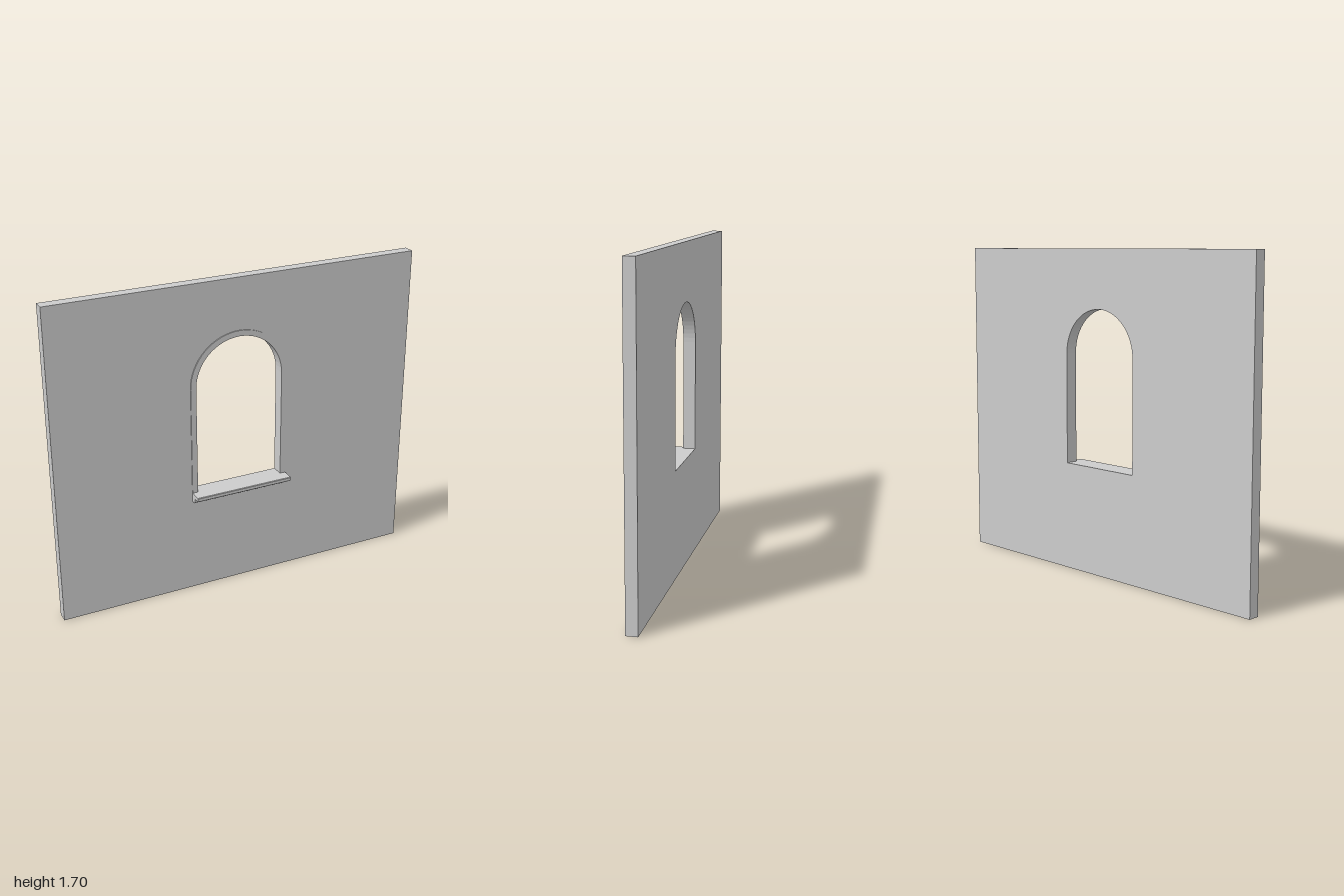
import * as THREE from 'three';

const HALF_W = 1, WALL_H = 1.695;          // wall outline
const BACK = -0.065, FACE = -0.005;        // wall back and front planes
const SILL_Y = 0.57, SPRING_Y = 1.15;      // bottom of opening, start of the arch
const OPEN_R = 0.24, TRIM_R = 0.27;        // half widths of opening and trim
const ARCH_SEGMENTS = 16;

// Round-headed outline: straight jambs with a semicircle on top
function archOutline(path, r) {
  path.moveTo(-r, SILL_Y);
  path.lineTo(r, SILL_Y);
  path.lineTo(r, SPRING_Y);
  path.absarc(0, SPRING_Y, r, 0, Math.PI, false);
  path.lineTo(-r, SILL_Y);
  return path;
}

function extrude(shape, depth) {
  return new THREE.ExtrudeGeometry(shape, { depth, bevelEnabled: false, curveSegments: ARCH_SEGMENTS });
}

export function createModel() {
  const group = new THREE.Group();
  group.name = 'wallWithArchedWindow';
  const material = new THREE.MeshStandardMaterial({ color: 0xcccccc, flatShading: true });

  const add = (name, geometry) => {
    const mesh = new THREE.Mesh(geometry, material);
    mesh.name = name;
    group.add(mesh);
  };

  // Wall slab pierced by the arched opening
  const wall = new THREE.Shape([
    new THREE.Vector2(-HALF_W, 0), new THREE.Vector2(HALF_W, 0),
    new THREE.Vector2(HALF_W, WALL_H), new THREE.Vector2(-HALF_W, WALL_H),
  ]);
  wall.holes.push(archOutline(new THREE.Path(), OPEN_R));
  add('wall', extrude(wall, FACE - BACK).translate(0, 0, BACK));

  // Thin raised trim: up one jamb, round the arch and down the other
  const trim = new THREE.Shape();
  trim.moveTo(TRIM_R, SILL_Y);
  trim.lineTo(TRIM_R, SPRING_Y);
  trim.absarc(0, SPRING_Y, TRIM_R, 0, Math.PI, false);
  trim.lineTo(-TRIM_R, SILL_Y);
  trim.lineTo(-OPEN_R, SILL_Y);
  trim.lineTo(-OPEN_R, SPRING_Y);
  trim.absarc(0, SPRING_Y, OPEN_R, Math.PI, 0, true);
  trim.lineTo(OPEN_R, SILL_Y);
  add('windowTrim', extrude(trim, 0.005).translate(0, 0, FACE));

  // Sill: projecting ledge over a small apron, as a (z, y) profile swept along x
  const sill = new THREE.Shape([
    [FACE, 0.521], [0.019, 0.521], [0.025, 0.527], [0.025, 0.548],
    [0.063, 0.548], [0.066, 0.551], [0.066, 0.567], [0.063, SILL_Y], [FACE, SILL_Y],
  ].map(([z, y]) => new THREE.Vector2(z, y)));
  add('windowSill', extrude(sill, 2 * TRIM_R).translate(0, 0, -TRIM_R).rotateY(-Math.PI / 2));

  return group;
}
